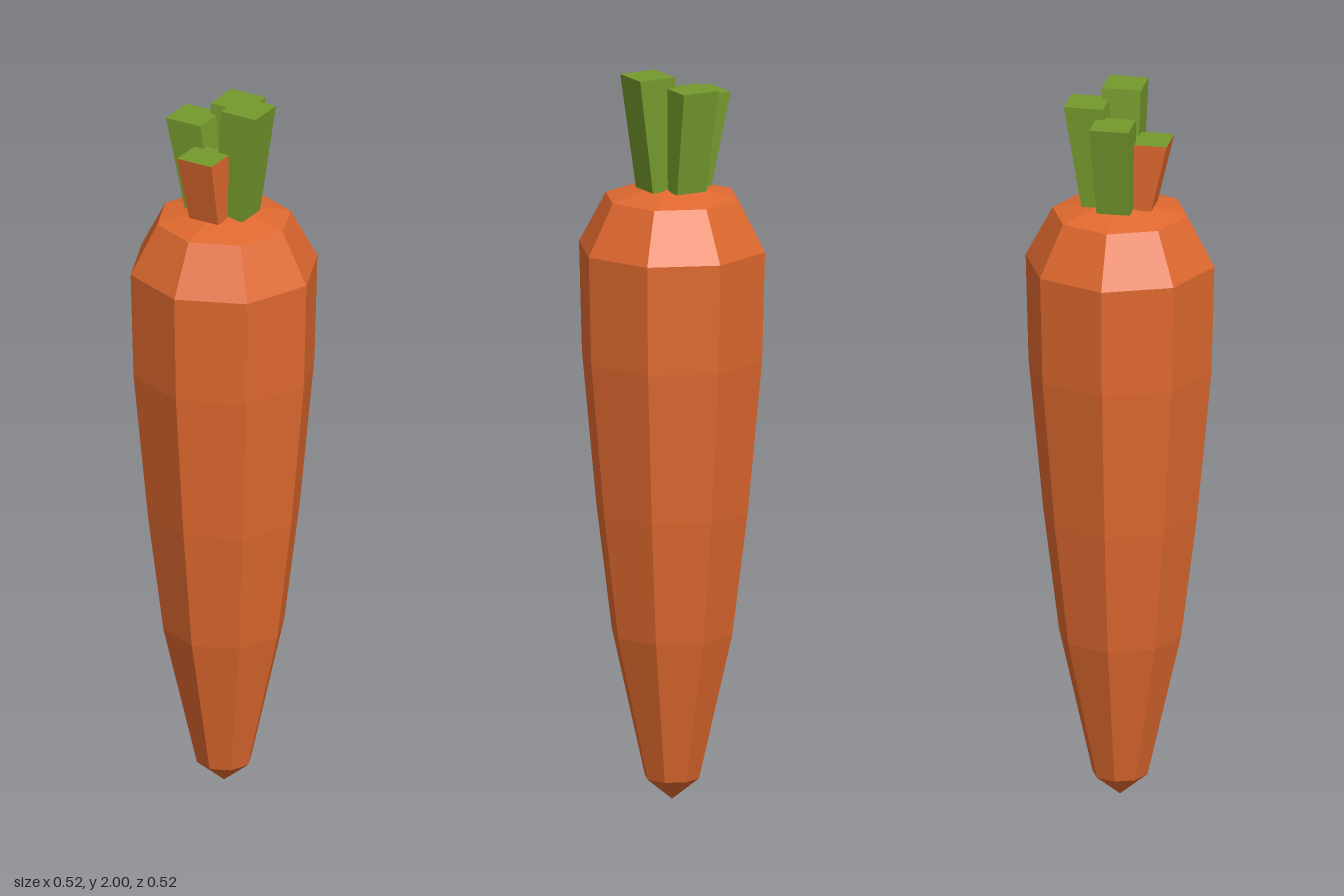
import * as THREE from 'three';

const orange = new THREE.MeshStandardMaterial({ color: 0xe0692f, flatShading: true });
orange.name = 'carrot orange';
const green = new THREE.MeshStandardMaterial({ color: 0x759a2d, flatShading: true });
green.name = 'leaf green';

// Four-sided stalk that widens and leans outwards from its foot to its top
function stalk(name, foot, top, height, sideMaterial) {
  const footY = 1.685, footSize = 0.091, topSize = 0.107;
  const geometry = new THREE.BoxGeometry(1, 1, 1);
  const p = geometry.attributes.position;
  for (let i = 0; i < p.count; i++) {
    const upper = p.getY(i) > 0;
    const [cx, cz] = upper ? top : foot;
    const size = upper ? topSize : footSize;
    p.setXYZ(i, cx + p.getX(i) * size, upper ? height : footY, cz + p.getZ(i) * size);
  }
  geometry.computeVertexNormals();
  const s = sideMaterial;
  const mesh = new THREE.Mesh(geometry, [s, s, green, s, s, s]);
  mesh.name = name;
  return mesh;
}

export function createModel() {
  const model = new THREE.Group();
  model.name = 'carrot';

  // Eight-sided tapering root, from tip to crown
  const profile = [
    [0, 0], [0.075, 0.06], [0.167, 0.46], [0.21, 0.8],
    [0.25, 1.22], [0.258, 1.52], [0.184, 1.66], [0, 1.706],
  ].map(([r, y]) => new THREE.Vector2(r, y));
  const root = new THREE.Mesh(new THREE.LatheGeometry(profile, 8), orange);
  root.name = 'root';
  model.add(root);

  // Stalks around the crown; the short front one is orange with a green top
  const stalks = new THREE.Group();
  stalks.name = 'stalks';
  stalks.add(
    stalk('leftStalk', [0.04, 0], [0.0765, -0.001], 2.0, green),
    stalk('rightStalk', [-0.05, 0], [-0.0965, -0.001], 1.94, green),
    stalk('backStalk', [-0.006, -0.05], [-0.009, -0.0875], 1.97, green),
    stalk('frontStalk', [-0.006, 0.05], [-0.009, 0.0865], 1.875, orange),
  );
  model.add(stalks);
  return model;
}
